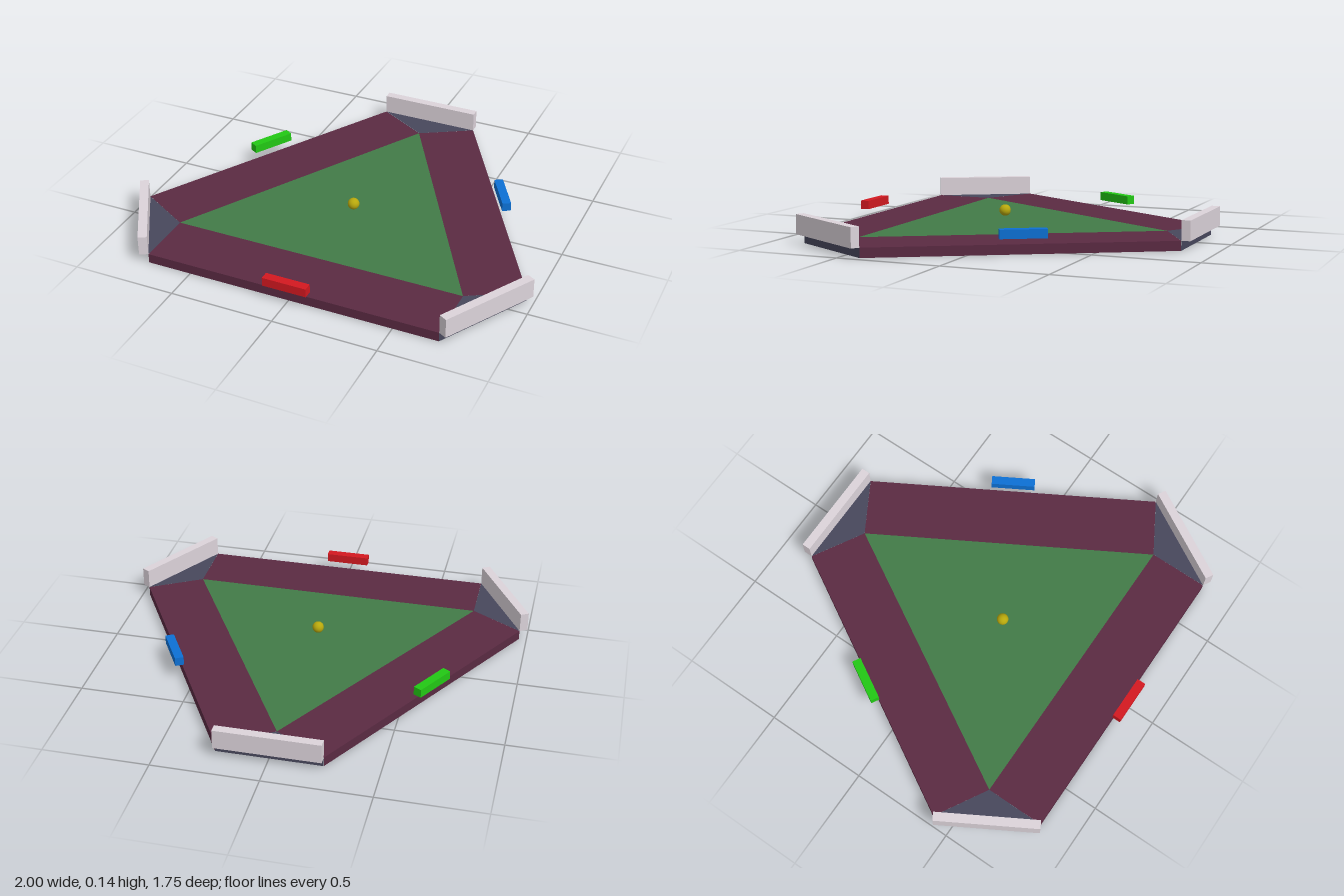
import * as THREE from 'three';

const H = 0.046;          // board thickness
const RAIL = 0.699;       // distance from board middle to a long edge
const RAIL_HALF = 0.716;
const CORNER = 0.97;      // distance from board middle to a short edge
const CORNER_HALF = 0.247;
const FIELD = 0.8268;     // circumradius of the green field

const paint = (color) => new THREE.MeshStandardMaterial({ color, flatShading: true });

// Flat-sided surface from convex polygons, corners counter-clockwise
function faces(name, material, ...polygons) {
  const pos = [];
  for (const p of polygons)
    for (let i = 1; i < p.length - 1; i++) pos.push(...p[0], ...p[i], ...p[i + 1]);
  const geo = new THREE.BufferGeometry();
  geo.setAttribute('position', new THREE.Float32BufferAttribute(pos, 3));
  geo.computeVertexNormals();
  const mesh = new THREE.Mesh(geo, material);
  mesh.name = name;
  return mesh;
}

// Outer wall of one board edge
const edge = (w, z) => [[-w, 0, z], [w, 0, z], [w, H, z], [-w, H, z]];

function box(name, material, w, h, d, y, z) {
  const mesh = new THREE.Mesh(new THREE.BoxGeometry(w, h, d), material);
  mesh.name = name;
  mesh.position.set(0, y, z);
  return mesh;
}

export function createModel() {
  const model = new THREE.Group();
  model.name = 'triangularGameBoard';
  const board = new THREE.Group();
  board.name = 'board';
  board.position.z = 0.135;
  model.add(board);

  const maroon = paint(0x5a2a42);
  const slate = paint(0x47475c);
  const white = paint(0xdcd3da);
  const paddles = [
    ['redPaddle', 0xd31820],
    ['bluePaddle', 0x0d70d4],
    ['greenPaddle', 0x22c814],
  ];

  const field = [], outline = [];
  paddles.forEach(([name, color], i) => {
    const a = (i * Math.PI * 2) / 3;

    // Long side: maroon zone with its paddle
    const side = new THREE.Group();
    side.name = 'side';
    side.rotation.y = a;
    const inner = FIELD / 2;
    side.add(
      faces('sideZone', maroon,
        [[-RAIL_HALF, H, RAIL], [RAIL_HALF, H, RAIL], [RAIL_HALF, H, inner], [-RAIL_HALF, H, inner]],
        edge(RAIL_HALF, RAIL)),
      box(name, paint(color), 0.214, 0.042, 0.042, 0.098, RAIL + 0.021));

    // Cut corner: slate triangle with a raised end wall
    const corner = new THREE.Group();
    corner.name = 'corner';
    corner.rotation.y = a + Math.PI / 3;
    corner.add(
      faces('cornerZone', slate,
        [[-CORNER_HALF, H, CORNER], [CORNER_HALF, H, CORNER], [0, H, FIELD]],
        edge(CORNER_HALF, CORNER)),
      box('endWall', white, CORNER_HALF * 2, 0.094, 0.042, H + 0.047, CORNER + 0.021));
    board.add(side, corner);

    // Corners of the field and of the board outline, in turning order
    const b = a + Math.PI / 3;
    field.push([FIELD * Math.sin(b), H, FIELD * Math.cos(b)]);
    for (const w of [-CORNER_HALF, CORNER_HALF])
      outline.push([
        CORNER * Math.sin(b) + w * Math.cos(b), 0,
        CORNER * Math.cos(b) - w * Math.sin(b)]);
  });

  board.add(
    faces('playingField', paint(0x427b47), field),
    faces('underside', maroon, outline.reverse()));

  // Ball hovering over the middle
  const ball = new THREE.Mesh(
    new THREE.SphereGeometry(0.028, 24, 16),
    new THREE.MeshStandardMaterial({ color: 0xb8a80c }));
  ball.name = 'ball';
  ball.position.y = 0.098;
  board.add(ball);

  return model;
}
